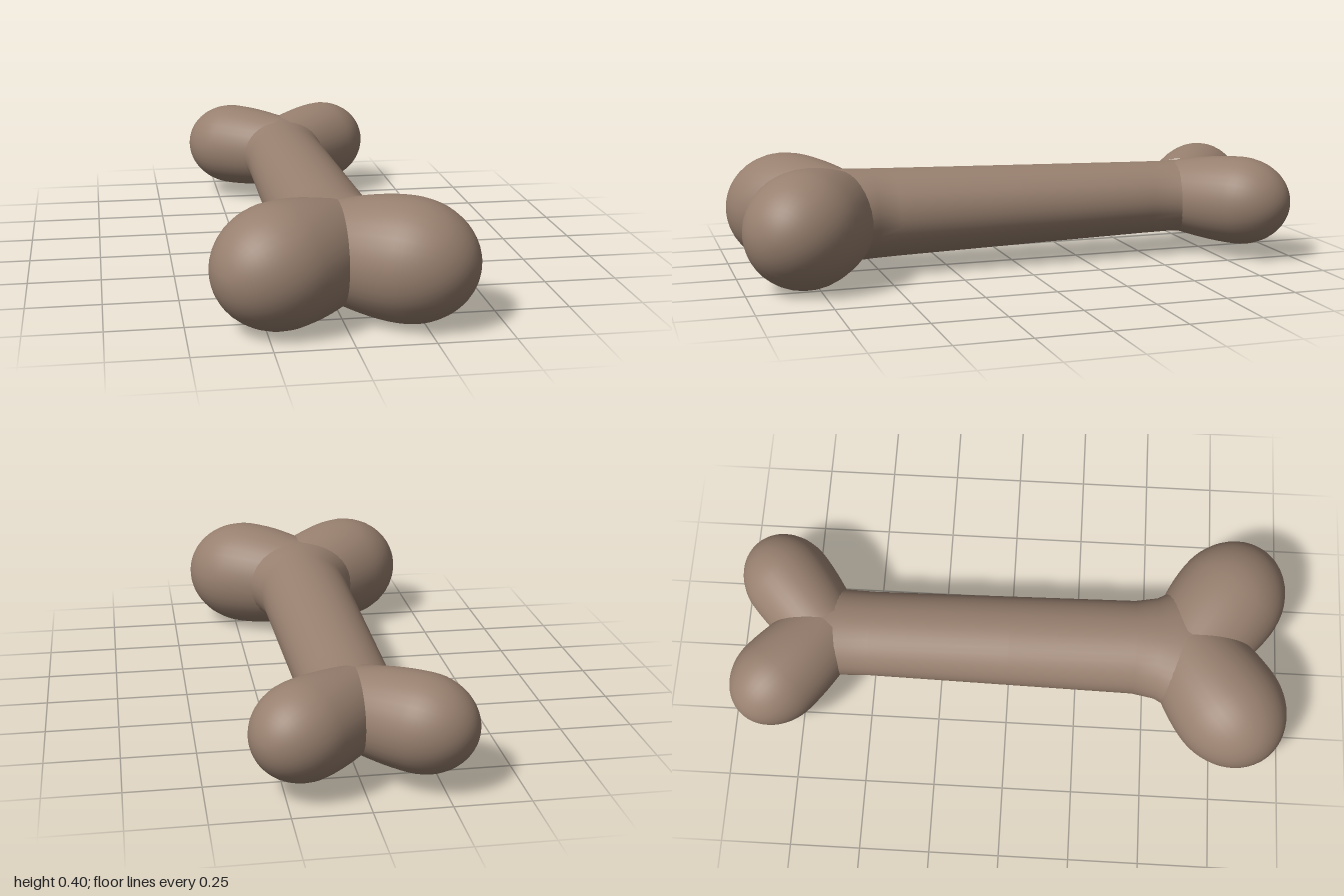
import * as THREE from 'three';
import { mergeVertices } from 'three/addons/utils/BufferGeometryUtils.js';

const bone = new THREE.MeshStandardMaterial({ color: 0x98806f });
bone.name = 'bone brown';

// Weld the lathe seam so shading is smooth all round
function smooth(geometry) {
  geometry.deleteAttribute('normal');
  geometry.deleteAttribute('uv');
  const welded = mergeVertices(geometry, 1e-5);
  welded.computeVertexNormals();
  return welded;
}

// Oval shaft from [z, half width, half height] stations, flaring at both ends
function makeShaft() {
  const stations = [
    [-0.78, 0.17, 0.115], [-0.72, 0.19, 0.133], [-0.66, 0.186, 0.133], [-0.61, 0.159, 0.131],
    [-0.5, 0.155, 0.133], [0, 0.163, 0.145], [0.45, 0.17, 0.156], [0.53, 0.185, 0.158],
    [0.6, 0.225, 0.16], [0.68, 0.24, 0.16], [0.76, 0.2, 0.138],
  ];
  const geometry = new THREE.LatheGeometry(stations.map(([z, , h]) => new THREE.Vector2(h, z)), 40);
  geometry.rotateX(Math.PI / 2);
  const pos = geometry.attributes.position;
  for (let i = 0; i < pos.count; i++) {
    const [, w, h] = stations[i % stations.length];
    pos.setX(i, pos.getX(i) * w / h);
  }
  const shaft = new THREE.Mesh(smooth(geometry), bone);
  shaft.name = 'shaft';
  shaft.position.y = 0.207;
  return shaft;
}

// Egg-shaped knob: narrow root on the centre line, rounded tip
function makeKnob({ root, radius, middle, tip }) {
  const points = [];
  for (let i = 0; i < 8; i++) {
    const t = i / 8;
    points.push(new THREE.Vector2(root + (radius - root) * Math.sin(t * Math.PI / 2), t * middle));
  }
  for (let i = 0; i <= 14; i++) {
    const a = (i / 14) * Math.PI / 2;
    points.push(new THREE.Vector2(i === 14 ? 0 : radius * Math.cos(a), middle + tip * Math.sin(a)));
  }
  return smooth(new THREE.LatheGeometry(points, 36));
}

export function createModel() {
  const group = new THREE.Group();
  group.name = 'bone';
  group.add(makeShaft());

  const ends = [
    { name: 'front', y: 0.203, z: 0.647, dir: 1, angle: 35, root: 0.165, radius: 0.202, middle: 0.245, tip: 0.235 },
    { name: 'back', y: 0.21, z: -0.668, dir: -1, angle: 40, root: 0.136, radius: 0.161, middle: 0.24, tip: 0.19 },
  ];
  // Two knobs splayed out at each end
  for (const end of ends) {
    const geometry = makeKnob(end);
    const a = THREE.MathUtils.degToRad(end.angle);
    for (const side of [1, -1]) {
      const knob = new THREE.Mesh(geometry, bone);
      knob.name = end.name + (side > 0 ? 'LeftKnob' : 'RightKnob');
      knob.position.set(0, end.y, end.z);
      knob.quaternion.setFromUnitVectors(
        new THREE.Vector3(0, 1, 0),
        new THREE.Vector3(side * Math.cos(a), 0, end.dir * Math.sin(a)),
      );
      group.add(knob);
    }
  }
  return group;
}
